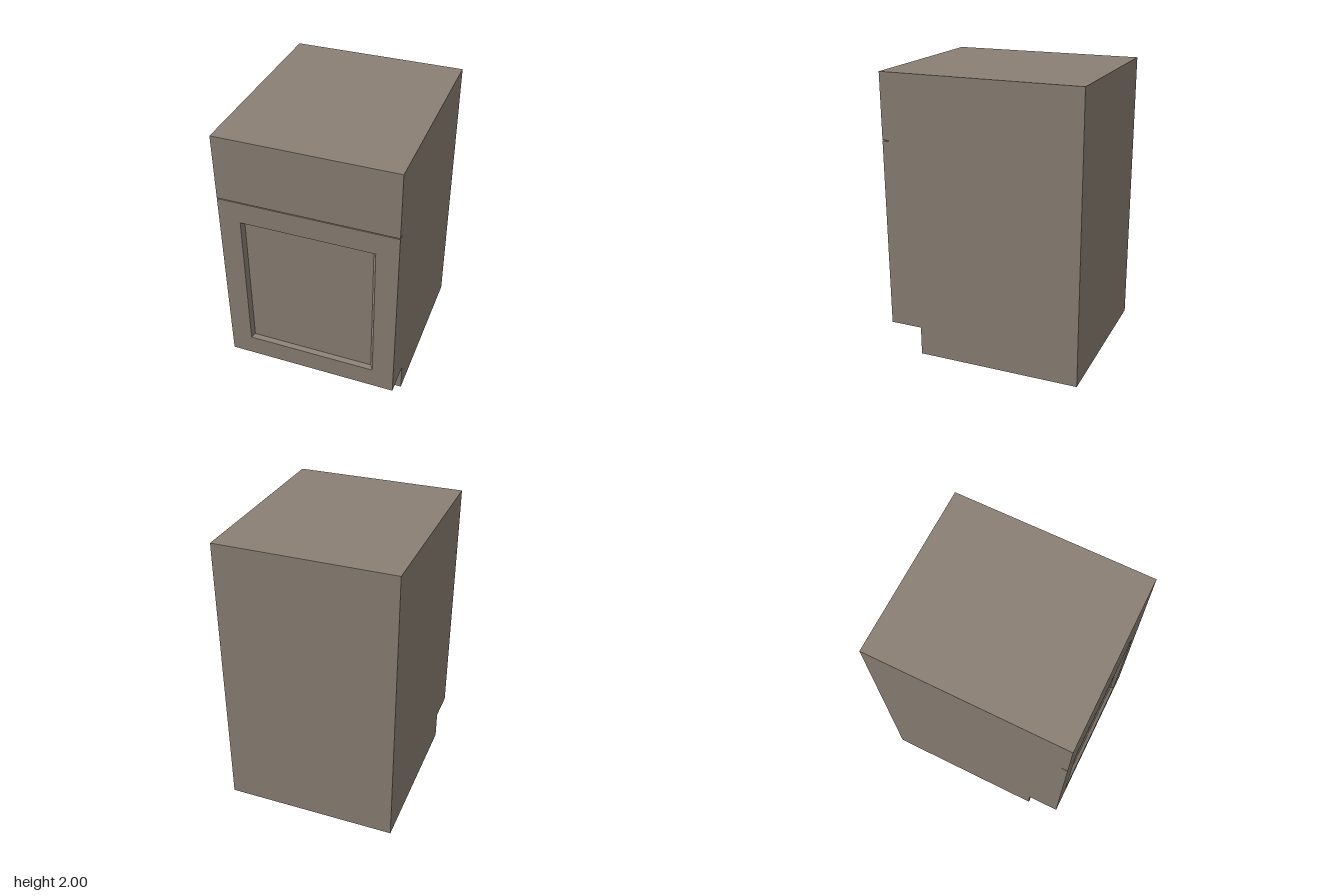
import * as THREE from 'three';

const W = 0.607, D = 0.695, H = 2;   // half width, half depth, height
const FACE = 0.65;                   // plane behind the door and drawer front
const KICK_Y = 0.205, KICK_Z = 0.465;
const GAP_LOW = 1.54, GAP_HIGH = 1.546;

const material = new THREE.MeshStandardMaterial({ color: 0x8b8075 });

// Joins rectangular rings [halfWidth, bottom, top, z] and caps the last one
function ringLoft(rings) {
  const corners = rings.map(([w, y0, y1, z]) => [[-w, y0, z], [w, y0, z], [w, y1, z], [-w, y1, z]]);
  const points = [];
  const quad = (a, b, c, d) => points.push(...a, ...b, ...c, ...a, ...c, ...d);
  for (let r = 0; r < corners.length - 1; r++) {
    const a = corners[r], b = corners[r + 1];
    for (let i = 0; i < 4; i++) {
      const j = (i + 1) % 4;
      quad(a[i], a[j], b[j], b[i]);
    }
  }
  quad(...corners[corners.length - 1]);
  const geometry = new THREE.BufferGeometry();
  geometry.setAttribute('position', new THREE.Float32BufferAttribute(points, 3));
  geometry.computeVertexNormals();
  return geometry;
}

export function createModel() {
  const cabinet = new THREE.Group();
  cabinet.name = 'baseCabinet';
  const add = (name, geometry) => {
    const mesh = new THREE.Mesh(geometry, material);
    mesh.name = name;
    cabinet.add(mesh);
  };

  // Carcass: side profile with toe kick, extruded across the width
  const profile = new THREE.Shape([
    [-D, 0], [KICK_Z, 0], [KICK_Z, KICK_Y], [FACE, KICK_Y], [FACE, H], [-D, H],
  ].map(([z, y]) => new THREE.Vector2(z, y)));
  const carcass = new THREE.ExtrudeGeometry(profile, { depth: 2 * W, bevelEnabled: false });
  carcass.rotateY(-Math.PI / 2).translate(W, 0, 0);
  add('carcass', carcass);

  // Plain drawer front above the gap
  add('drawerFront', ringLoft([
    [W, GAP_HIGH, H, FACE],
    [W, GAP_HIGH, H, D],
  ]));

  // Door with a bevelled, recessed centre panel
  add('door', ringLoft([
    [W, KICK_Y, GAP_LOW, FACE],
    [W, KICK_Y, GAP_LOW, D],
    [0.457, 0.356, 1.386, D],
    [0.437, 0.376, 1.366, D - 0.025],
  ]));

  return cabinet;
}
